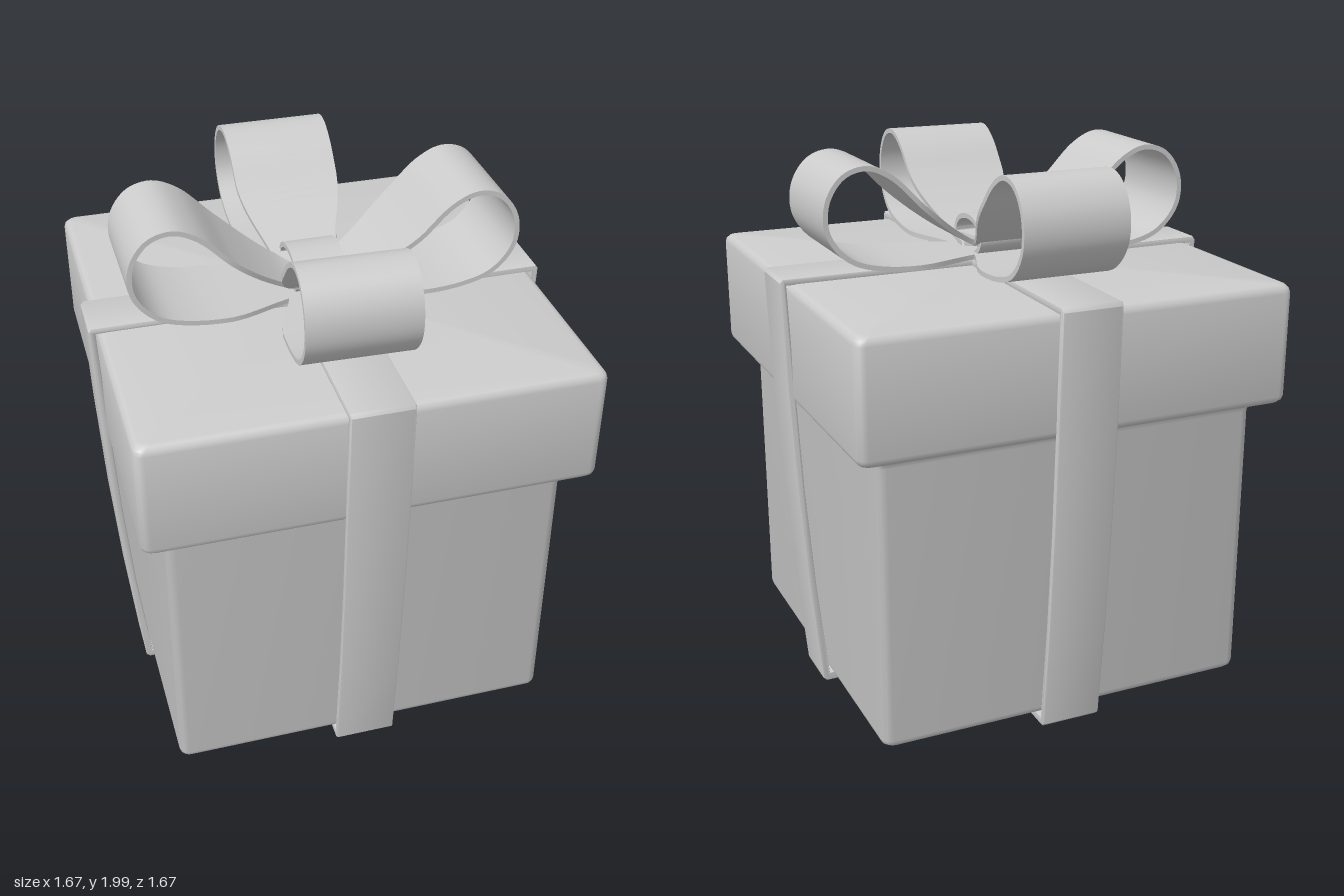
import * as THREE from 'three';
import { toCreasedNormals } from 'three/addons/utils/BufferGeometryUtils.js';

const material = new THREE.MeshStandardMaterial({ color: 0xcccccc, side: THREE.DoubleSide });

// Skins a list of equally sized closed rings of Vector3
function loft(rings, crease = 0.6) {
  const n = rings[0].length;
  const index = [];
  for (let j = 0; j < rings.length - 1; j++) {
    for (let i = 0; i < n; i++) {
      const a = j * n + i, b = j * n + (i + 1) % n;
      index.push(a, b, b + n, a, b + n, a + n);
    }
  }
  const geometry = new THREE.BufferGeometry().setFromPoints(rings.flat());
  geometry.setIndex(index);
  return toCreasedNormals(geometry, crease);
}

// Square cross-section with rounded corners
function squareRing(half, y, radius = 0.035) {
  const r = Math.min(radius, half), points = [];
  for (let c = 0; c < 4; c++) {
    const mid = (c + 0.5) * Math.PI / 2;
    const cx = Math.sign(Math.cos(mid)) * (half - r), cz = -Math.sign(Math.sin(mid)) * (half - r);
    for (let k = 0; k <= 5; k++) {
      const t = (c + k / 5) * Math.PI / 2;
      points.push(new THREE.Vector3(cx + Math.cos(t) * r, y, cz - Math.sin(t) * r));
    }
  }
  return points;
}

// Flat band of given thickness following a curve in the xy plane, wide in z
function band(curve, halfWidth, thickness, steps) {
  const rings = [];
  for (let j = 0; j <= steps; j++) {
    const p = curve.getPoint(j / steps), t = curve.getTangent(j / steps);
    const w = halfWidth(p.x), h = thickness / 2;
    rings.push([[1, -1], [1, 1], [-1, 1], [-1, -1]].map(([n, s]) =>
      new THREE.Vector3(p.x - t.y * h * n, p.y + t.x * h * n, w * s)));
  }
  return loft(rings);
}

// Ribbon strap running all the way round the box
function strap(width, lift) {
  const loop = (pts) => [...pts, ...pts.map(([x, y]) => [-x, y]).reverse()]
    .map(([x, y]) => new THREE.Vector2(x, y));
  const shape = new THREE.Shape(loop([[0.725, 0], [0.738, 0.012], [0.775, 0.4], [0.804, 0.8],
    [0.824, 1.2], [0.836, 1.585], [0.826, 1.598 + lift]]));
  shape.holes.push(new THREE.Path(loop([[0.712, 0.032 - lift], [0.75, 0.4], [0.779, 0.8],
    [0.798, 1.2], [0.812, 1.574]])));
  const bevel = 0.006;
  const geometry = new THREE.ExtrudeGeometry(shape, {
    depth: width - 2 * bevel, bevelThickness: bevel, bevelSize: bevel, bevelOffset: -bevel, bevelSegments: 2,
  });
  geometry.translate(0, 0, bevel - width / 2);
  return toCreasedNormals(geometry, 0.6);
}

export function createModel() {
  const model = new THREE.Group();
  const add = (name, geometry, turn = 0) => {
    const mesh = new THREE.Mesh(geometry, material);
    mesh.name = name;
    mesh.rotation.y = turn;
    model.add(mesh);
    return mesh;
  };

  // Box, flaring into the underside of the lid
  const bodyProfile = [[0, 0.045], [0.685, 0.045], [0.7, 0.049], [0.711, 0.06], [0.715, 0.075],
    [0.715, 1.095], [0.72, 1.115], [0.735, 1.13], [0.76, 1.138], [0.79, 1.145]];
  add('boxBody', loft(bodyProfile.map(([h, y]) => squareRing(h, y))));
  const lidProfile = [[0, 1.138], [0.775, 1.138], [0.79, 1.142], [0.801, 1.153], [0.805, 1.168],
    [0.805, 1.545], [0.801, 1.561], [0.79, 1.573], [0.775, 1.577], [0, 1.577]];
  add('lid', loft(lidProfile.map(([h, y]) => squareRing(h, y))));

  // Crossed straps
  add('sideStrap', strap(0.2, 0));
  add('frontStrap', strap(0.225, 0.002), Math.PI / 2);

  // Four bow loops, pinched towards the middle
  const loopCurve = new THREE.CatmullRomCurve3([[0, 1.612], [0.2, 1.612], [0.48, 1.622], [0.61, 1.665],
    [0.685, 1.76], [0.685, 1.87], [0.625, 1.955], [0.54, 1.978], [0.45, 1.94], [0.33, 1.825],
    [0.2, 1.72], [0.1, 1.66], [0, 1.635]].map(([x, y]) => new THREE.Vector3(x, y, 0)));
  const loopWidth = (x) => 0.108 + 0.08 * THREE.MathUtils.smoothstep(x, 0.06, 0.36) + 0.012 * x;
  const loopGeometry = band(loopCurve, loopWidth, 0.018, 72);
  ['rightLoop', 'backLoop', 'leftLoop', 'frontLoop'].forEach((name, i) => {
    const mesh = add(name, loopGeometry, i * Math.PI / 2);
    if (name === 'frontLoop') {
      mesh.rotation.y -= 0.03;
      mesh.scale.x = 0.98;
    }
    if (name === 'backLoop') mesh.position.x = -0.008;
  });

  // Knot band around the middle of the bow
  const knotCurve = new THREE.CatmullRomCurve3(Array.from({ length: 16 }, (_, i) => {
    const t = i / 16 * Math.PI * 2;
    return new THREE.Vector3(0.115 * Math.cos(t), 1.672 + 0.068 * Math.sin(t), 0);
  }), true);
  add('knot', band(knotCurve, () => 0.092, 0.018, 48), Math.PI / 2).position.z = -0.013;

  return model;
}
